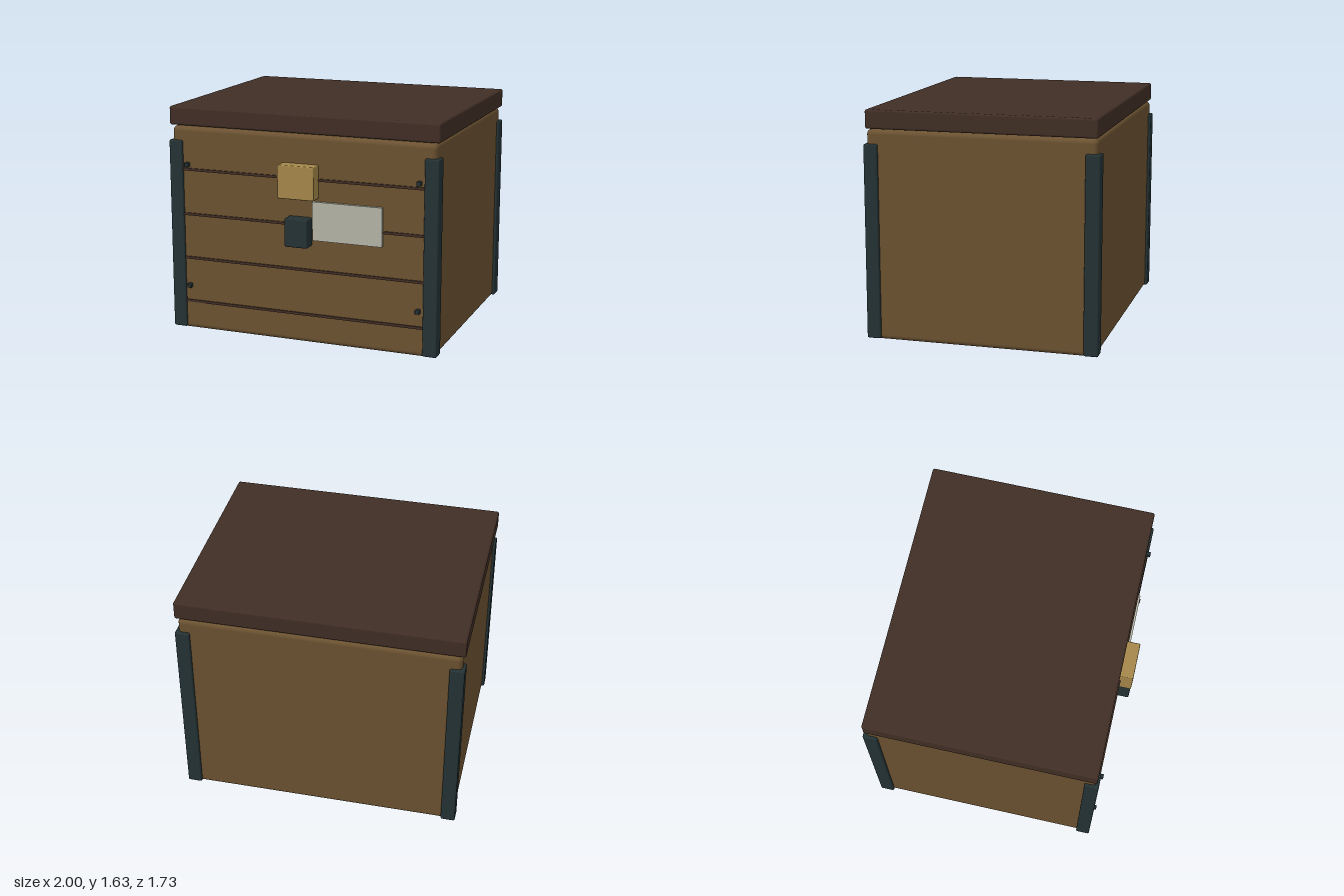
import * as THREE from 'three';
import { RoundedBoxGeometry } from 'three/addons/geometries/RoundedBoxGeometry.js';

function material(name, color) {
  const m = new THREE.MeshStandardMaterial({ color });
  m.name = name;
  return m;
}

export function createModel() {
  const group = new THREE.Group();
  group.name = 'storageCrate';

  const wood = material('brown wood', 0x6b5231);
  const darkWood = material('dark wood', 0x402e25);
  const iron = material('dark iron', 0x243234);
  const brass = material('brass', 0xa5874a);
  const paper = material('pale label', 0xb4b4a6);

  // Box given by its limits on each axis, with softly rounded edges
  function box(name, mat, [x0, x1], [y0, y1], [z0, z1], radius = 0) {
    const w = x1 - x0, h = y1 - y0, d = z1 - z0;
    const geometry = radius
      ? new RoundedBoxGeometry(w, h, d, 3, radius)
      : new THREE.BoxGeometry(w, h, d);
    const mesh = new THREE.Mesh(geometry, mat);
    mesh.name = name;
    mesh.position.set((x0 + x1) / 2, (y0 + y1) / 2, (z0 + z1) / 2);
    group.add(mesh);
  }

  // Body and lid
  box('body', wood, [-0.98, 0.98], [0, 1.49], [-0.845, 0.775], 0.035);
  box('lid', darkWood, [-1, 1], [1.495, 1.628], [-0.848, 0.775], 0.015);

  // Plank seams across the front
  for (const y of [0.21, 0.534, 0.857, 1.183]) {
    box('plankSeam', darkWood, [-0.935, 0.935], [y - 0.009, y + 0.009], [0.765, 0.784]);
  }

  for (const side of [-1, 1]) {
    const span = (a, b) => (side > 0 ? [a, b] : [-b, -a]);

    // Corner posts
    box('frontCornerPost', iron, span(0.897, 1), [0.01, 1.39], [0.69, 0.79], 0.012);
    box('backCornerPost', iron, span(0.897, 1), [0.01, 1.39], [-0.865, -0.762], 0.012);

    // Rivets
    for (const y of [0.328, 1.218]) {
      box('rivet', iron, span(0.846, 0.878), [y - 0.016, y + 0.016], [0.765, 0.806], 0.006);
    }
  }

  // Lock, hasp block and label on the front
  box('lockPlate', brass, [-0.135, 0.135], [1.052, 1.288], [0.768, 0.868], 0.008);
  box('haspBlock', iron, [-0.085, 0.085], [0.712, 0.915], [0.768, 0.866], 0.01);
  box('label', paper, [0.097, 0.605], [0.757, 1.032], [0.77, 0.798]);

  return group;
}
